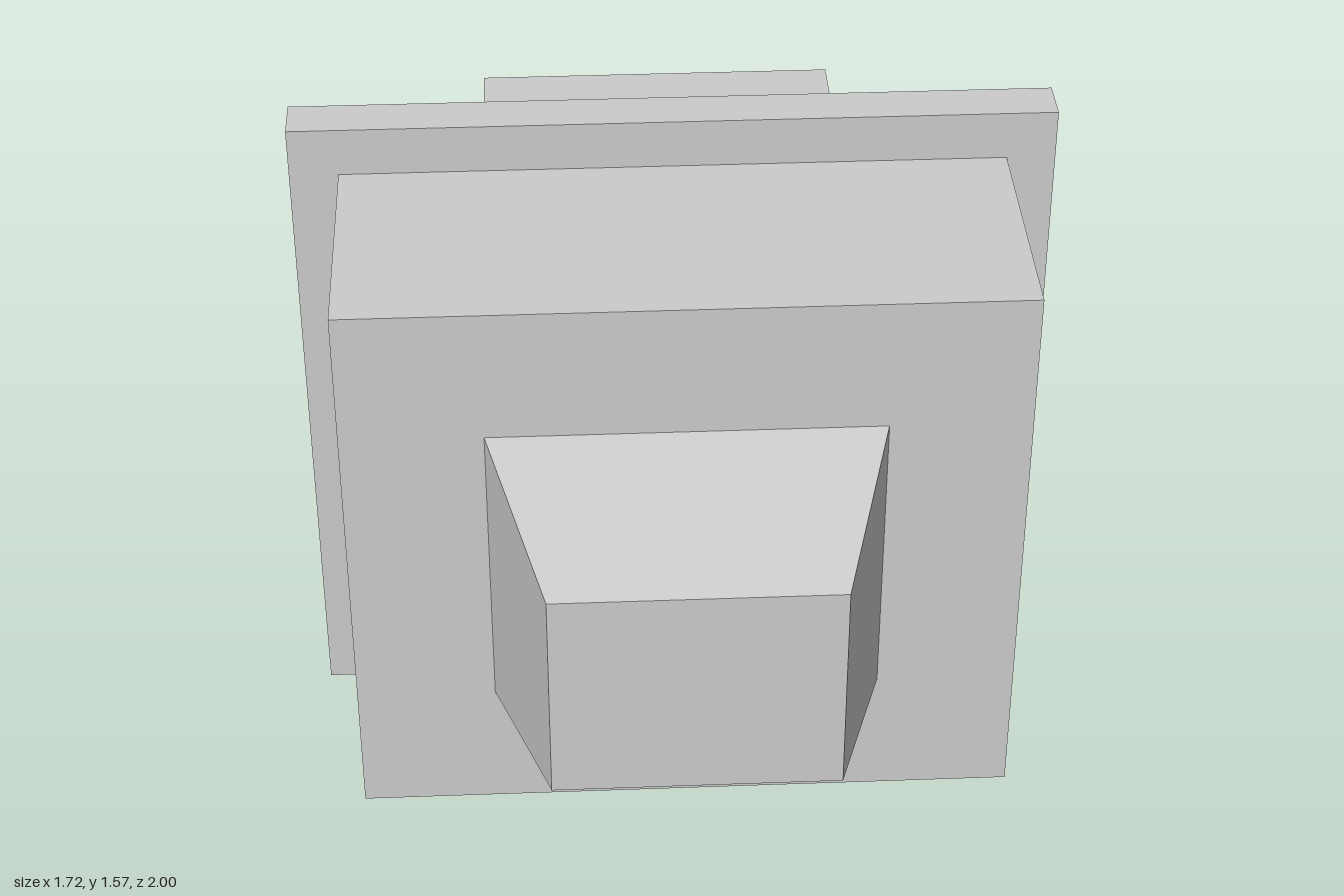
import * as THREE from 'three';

const CENTER_Y = 0.786;

export function createModel() {
  const group = new THREE.Group();
  const material = new THREE.MeshStandardMaterial({ color: 0xcccccc, flatShading: true });

  // Box spanning zBack..zFront on the common axis; the front end may taper
  function addBlock(name, width, height, zBack, zFront, taperX = 1, taperY = 1) {
    const geometry = new THREE.BoxGeometry(width, height, zFront - zBack);
    const pos = geometry.attributes.position;
    for (let i = 0; i < pos.count; i++) {
      if (pos.getZ(i) > 0) pos.setXY(i, pos.getX(i) * taperX, pos.getY(i) * taperY);
    }
    geometry.computeVertexNormals();
    const mesh = new THREE.Mesh(geometry, material);
    mesh.name = name;
    mesh.position.set(0, CENTER_Y, (zBack + zFront) / 2);
    group.add(mesh);
  }

  // Rear block, thin flange, main housing and tapered nose
  addBlock('rearBlock', 0.872, 0.716, -1, -0.135);
  addBlock('flange', 1.718, 1.572, -0.135, -0.025);
  addBlock('housing', 1.498, 1.345, -0.025, 0.555);
  addBlock('taperedNose', 0.872, 0.716, 0.555, 1, 0.718, 0.718);

  return group;
}
